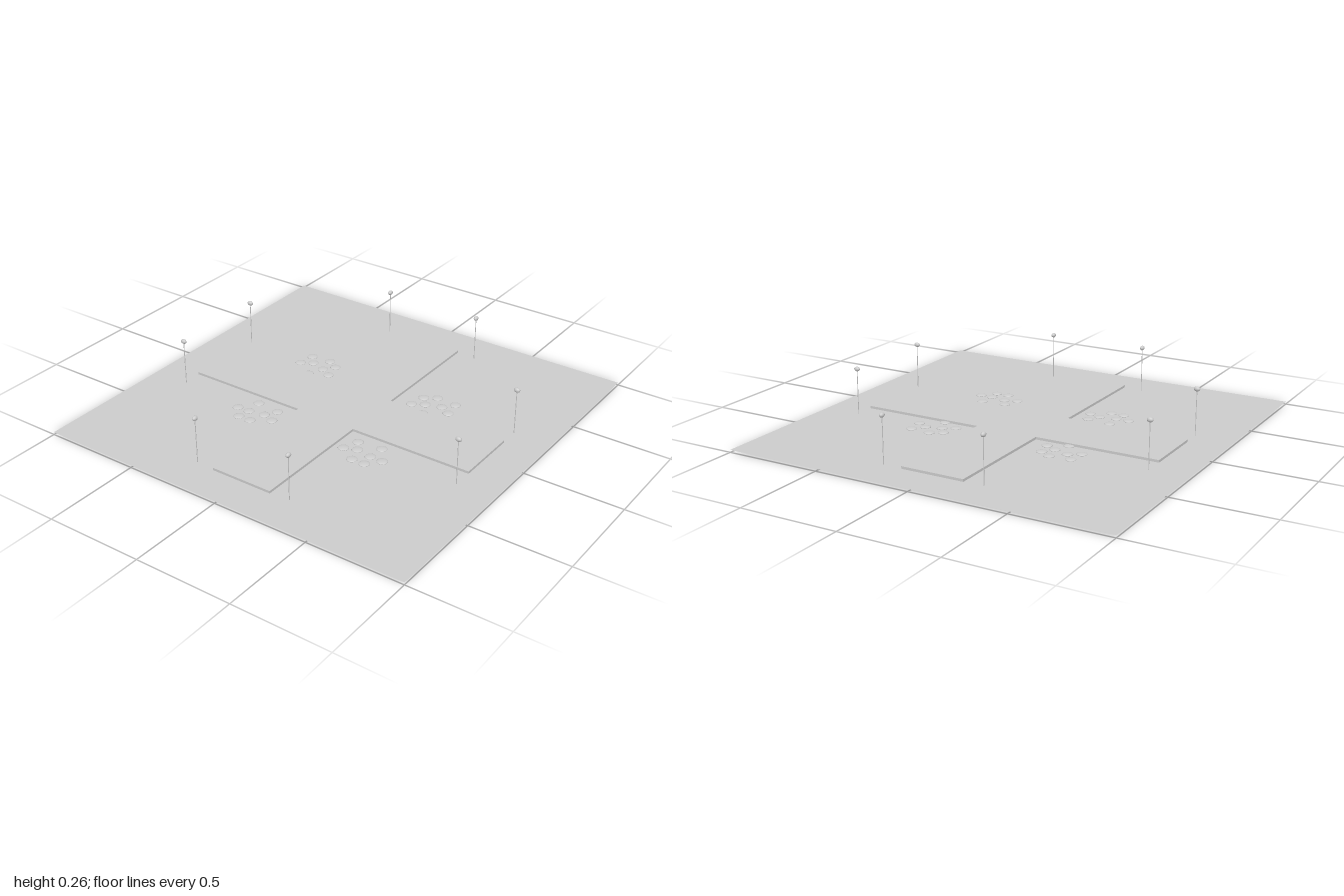
import * as THREE from 'three';

const GROUND_Y = 0.0125;
const grey = new THREE.MeshStandardMaterial({ color: 0xcccccc });
const greyDouble = new THREE.MeshStandardMaterial({ color: 0xcccccc, side: THREE.DoubleSide });

function addMesh(parent, name, geometry, material = grey) {
  const mesh = new THREE.Mesh(geometry, material);
  mesh.name = name;
  parent.add(mesh);
  return mesh;
}

// Cross-shaped road slab, half of it above and half below the ground sheet
function crossRoad() {
  const w = 0.164, l = 0.806, m = 0.811;
  const outline = [
    [w, m], [-w, m], [-w, w], [-l, w], [-l, -w], [-w, -w],
    [-w, -m], [w, -m], [w, -w], [l, -w], [l, w], [w, w],
  ].map(([x, y]) => new THREE.Vector2(x, y));
  return new THREE.ExtrudeGeometry(new THREE.Shape(outline), { depth: 0.025, bevelEnabled: false })
    .rotateX(-Math.PI / 2);
}

// Lamp post: thin pole with a small oval head, longer along its local x
function lampPost() {
  const lamp = new THREE.Group();
  lamp.name = 'lampPost';
  const height = 0.25 - GROUND_Y;
  addMesh(lamp, 'pole', new THREE.CylinderGeometry(0.002, 0.002, height, 8))
    .position.y = GROUND_Y + height / 2;
  const head = addMesh(lamp, 'lampHead', new THREE.SphereGeometry(1, 16, 10));
  head.scale.set(0.016, 0.012, 0.011);
  head.position.y = 0.248;
  return lamp;
}

export function createModel() {
  const model = new THREE.Group();
  model.name = 'crossroads';

  const ground = addMesh(model, 'ground', new THREE.PlaneGeometry(2, 2).rotateX(-Math.PI / 2), greyDouble);
  ground.position.y = GROUND_Y;

  addMesh(model, 'crossRoad', crossRoad()).position.z = 0.002;

  // Clumps of flattened bushes, mirrored left to right
  const bushes = [
    [0.439, -0.326], [0.331, -0.334], [0.272, -0.299], [0.394, -0.272],
    [0.451, -0.238], [0.313, -0.246], [0.254, -0.213], [0.347, -0.167],
    [0.367, 0.22], [0.241, 0.233], [0.277, 0.291], [0.428, 0.308],
    [0.361, 0.306], [0.213, 0.314], [0.371, 0.372], [0.302, 0.372],
  ];
  const bushGeometry = new THREE.SphereGeometry(0.027, 24, 12).scale(1, 0.23, 1);
  for (const side of [-1, 1]) {
    for (const [x, z] of bushes) {
      addMesh(model, 'bush', bushGeometry).position.set(side * x, GROUND_Y + 0.001, z);
    }
  }

  // Two lamp posts flank the end of each road arm
  for (let arm = 0; arm < 4; arm++) {
    const pair = new THREE.Group();
    pair.name = 'lampPair';
    for (const side of [-1, 1]) {
      const lamp = lampPost();
      lamp.position.set(0.802, 0, side * 0.266);
      pair.add(lamp);
    }
    pair.rotation.y = arm * Math.PI / 2;
    model.add(pair);
  }
  return model;
}
